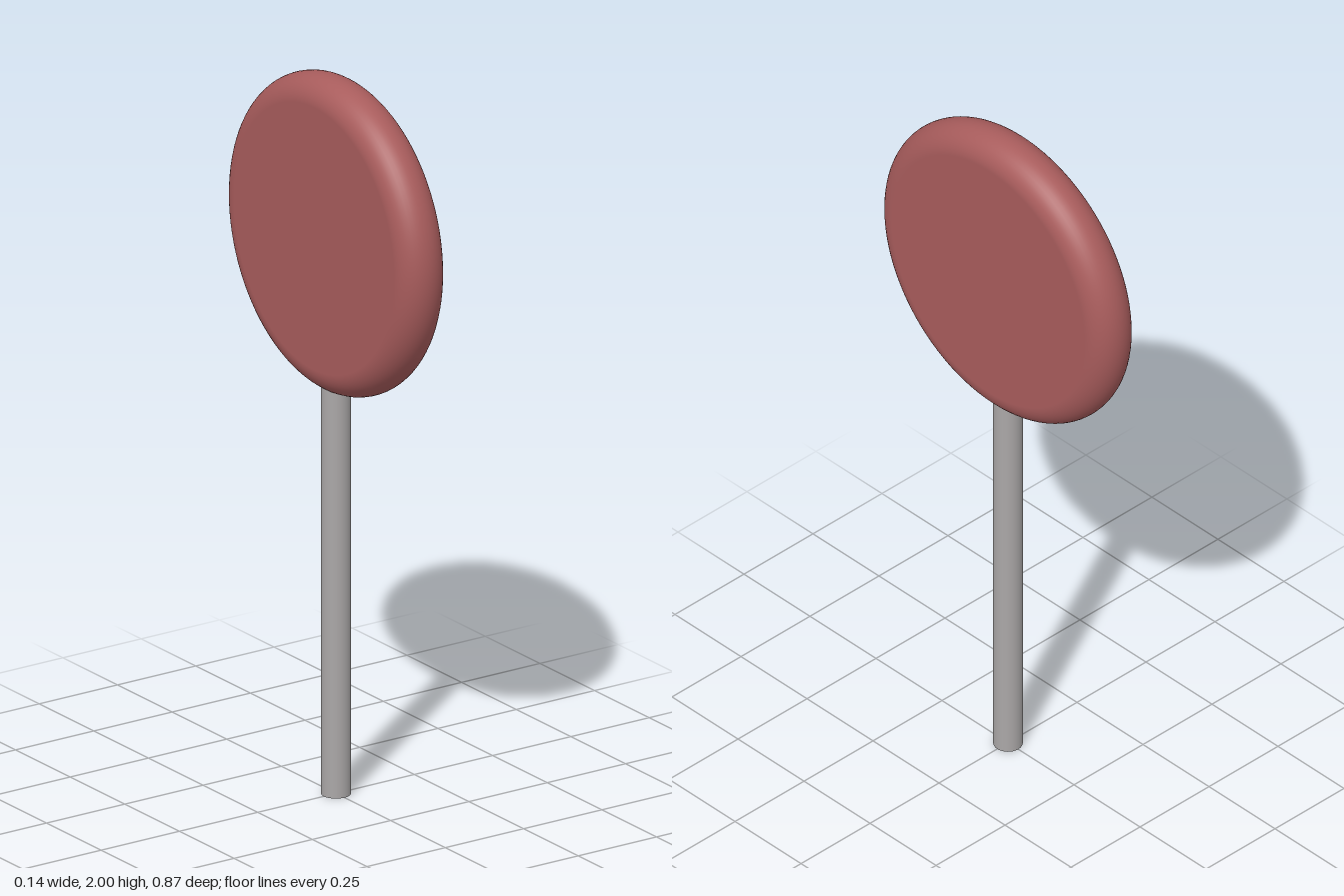
import * as THREE from 'three';

const DISC_R = 0.437;   // outer radius of the candy
const HALF = 0.071;     // half its thickness, also the rim rounding
const CENTRE_Y = 2 - DISC_R;
const STICK_R = 0.039;
const STICK_TOP = 1.25; // ends inside the candy

export function createModel() {
  const candyRed = new THREE.MeshStandardMaterial({ color: 0xa85c5c });
  const stickGrey = new THREE.MeshStandardMaterial({ color: 0xaaa7a7 });
  const model = new THREE.Group();
  model.name = 'lollipop';

  // Candy: flat disc with a fully rounded rim, turned to face sideways
  const profile = [new THREE.Vector2(0, -HALF)];
  const steps = 20;
  for (let i = 0; i <= steps; i++) {
    const a = -Math.PI / 2 + (Math.PI * i) / steps;
    profile.push(new THREE.Vector2(DISC_R - HALF + HALF * Math.cos(a), HALF * Math.sin(a)));
  }
  profile.push(new THREE.Vector2(0, HALF));
  const candy = new THREE.Mesh(new THREE.LatheGeometry(profile, 96), candyRed);
  candy.name = 'candy';
  candy.rotation.z = Math.PI / 2;
  candy.position.y = CENTRE_Y;
  model.add(candy);

  // Stick
  const stick = new THREE.Mesh(new THREE.CylinderGeometry(STICK_R, STICK_R, STICK_TOP, 32), stickGrey);
  stick.name = 'stick';
  stick.position.y = STICK_TOP / 2;
  model.add(stick);

  return model;
}
